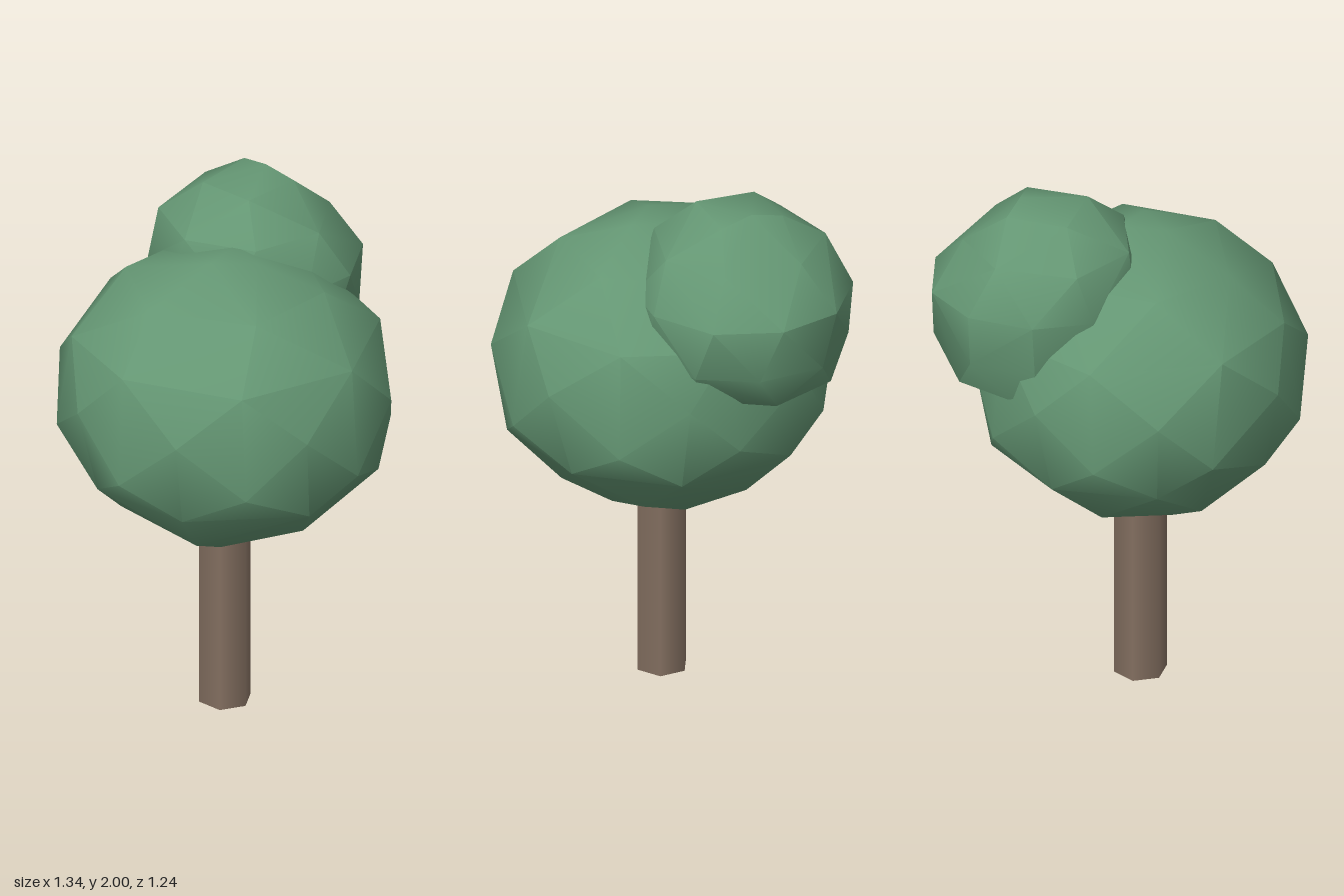
import * as THREE from 'three';
import { ConvexGeometry } from 'three/addons/geometries/ConvexGeometry.js';
import { toCreasedNormals } from 'three/addons/utils/BufferGeometryUtils.js';

// Faceted foliage clump: the convex hull of slightly uneven rings.
// Each ring is [height, radius, number of points, starting angle in degrees, centre x, centre z].
function makeClump(name, material, stretchX, rings, seed) {
  const random = () => {
    seed = (seed * 16807) % 2147483647;
    return seed / 2147483647 - 0.5;
  };
  const points = [];
  for (const [y, radius, count, start, cx, cz] of rings) {
    for (let i = 0; i < count; i++) {
      const a = THREE.MathUtils.degToRad(start) + ((i + random() * 0.15) / count) * Math.PI * 2;
      const r = radius * (1 + random() * 0.02);
      points.push(new THREE.Vector3(
        cx + Math.cos(a) * r * stretchX,
        y + random() * 0.015,
        cz + Math.sin(a) * r
      ));
    }
  }
  const mesh = new THREE.Mesh(toCreasedNormals(new ConvexGeometry(points), 0.65), material);
  mesh.name = name;
  return mesh;
}

export function createModel() {
  const leafGreen = new THREE.MeshStandardMaterial({ color: 0x649673 });
  leafGreen.name = 'leaf green';
  const barkBrown = new THREE.MeshStandardMaterial({ color: 0x836f60 });
  barkBrown.name = 'bark brown';

  const tree = new THREE.Group();
  tree.name = 'tree';

  // Six-sided trunk, reaching into the foliage
  const trunk = new THREE.Mesh(new THREE.CylinderGeometry(0.1, 0.1, 0.85, 6), barkBrown);
  trunk.name = 'trunk';
  trunk.position.set(-0.055, 0.425, 0);
  trunk.rotation.y = 0.1;
  tree.add(trunk);

  // Large main crown
  tree.add(makeClump('mainCrown', leafGreen, 0.97, [
    [1.85, 0.1, 3, 80, -0.05, 0.04],
    [1.74, 0.38, 6, 60, -0.05, 0],
    [1.54, 0.58, 8, 38, -0.05, 0],
    [1.35, 0.64, 8, 13, -0.05, 0],
    [1.14, 0.625, 8, 38, -0.05, 0],
    [1.02, 0.575, 8, 13, -0.05, 0],
    [0.84, 0.4, 6, 30, -0.05, 0],
    [0.745, 0.23, 5, 0, -0.04, 0],
    [0.71, 0, 1, 0, 0.04, -0.1],
  ], 11));

  // Smaller crown, up on the back left
  tree.add(makeClump('smallCrown', leafGreen, 0.97, [
    [1.992, 0, 1, 0, 0.34, -0.2],
    [1.975, 0.17, 4, 45, 0.24, -0.19],
    [1.85, 0.325, 7, 180, 0.23, -0.19],
    [1.67, 0.405, 10, 0, 0.28, -0.19],
    [1.47, 0.385, 9, 10, 0.28, -0.19],
    [1.325, 0.315, 7, 0, 0.28, -0.22],
    [1.275, 0.14, 4, 40, 0.28, -0.2],
  ], 29));

  return tree;
}
